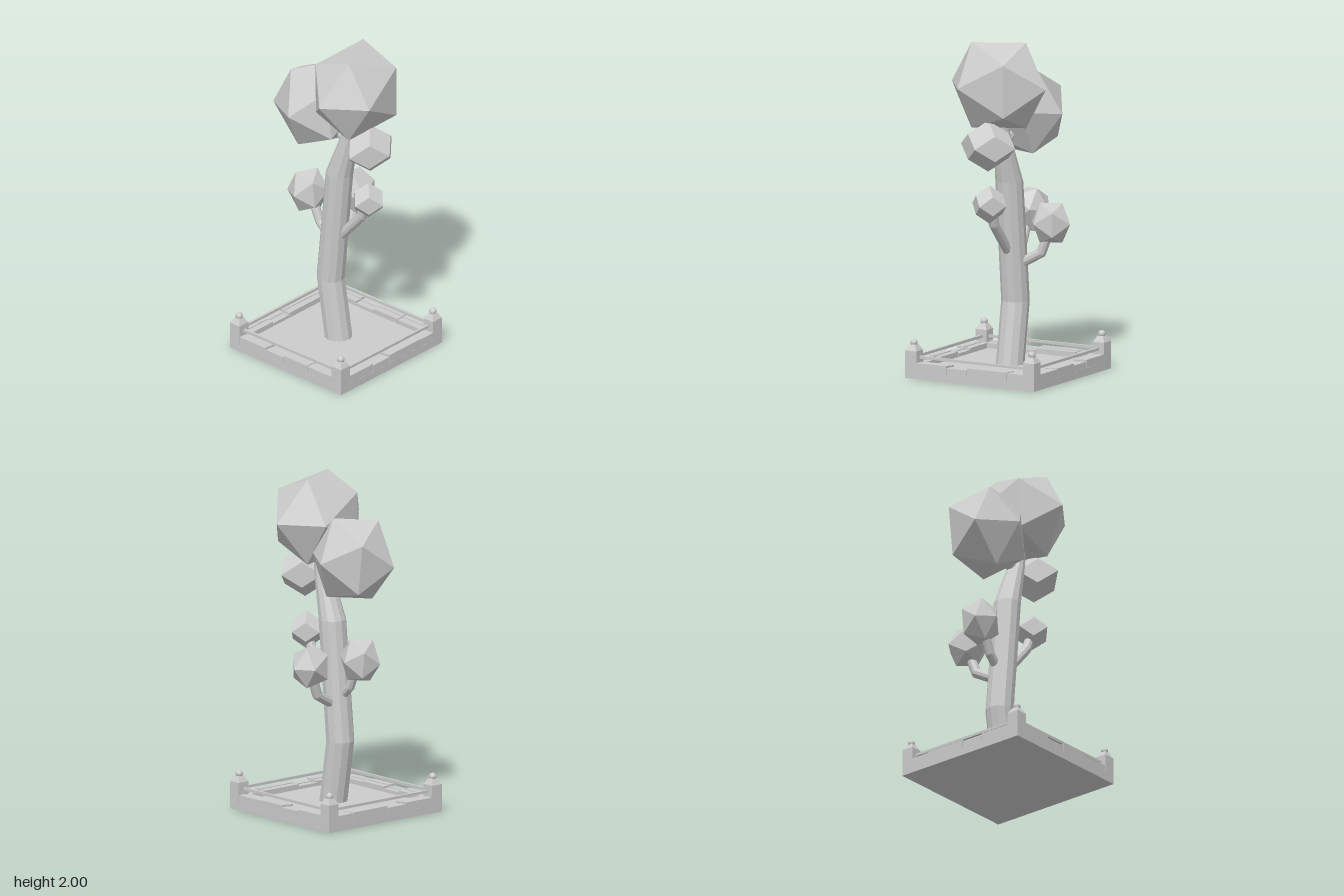
import * as THREE from 'three';
import { ConvexGeometry } from 'three/addons/geometries/ConvexGeometry.js';

const flat = new THREE.MeshStandardMaterial({ color: 0xcccccc, flatShading: true });
const smooth = new THREE.MeshStandardMaterial({ color: 0xcccccc });

function add(parent, name, geometry, x = 0, y = 0, z = 0, material = flat) {
  const mesh = new THREE.Mesh(geometry, material);
  mesh.name = name;
  mesh.position.set(x, y, z);
  parent.add(mesh);
  return mesh;
}

// Icosahedron with a vertex pointing at +z, rolled about z, then stretched
function icoCrown(rx, ry, rz, roll) {
  const g = new THREE.IcosahedronGeometry(1, 0);
  g.rotateX(Math.atan(2 / (1 + Math.sqrt(5))));
  g.rotateZ(Math.PI / 2 + roll);
  g.scale(rx, ry, rz);
  return g;
}

// Rhombic dodecahedron: six axis points plus eight half-size cube corners
function rhombicCrown(rx, ry, rz) {
  const pts = [];
  for (const s of [-1, 1]) {
    pts.push(new THREE.Vector3(s * rx, 0, 0), new THREE.Vector3(0, s * ry, 0), new THREE.Vector3(0, 0, s * rz));
    for (const t of [-1, 1]) for (const u of [-1, 1]) {
      pts.push(new THREE.Vector3(s * rx / 2, t * ry / 2, u * rz / 2));
    }
  }
  return new ConvexGeometry(pts);
}

// Bent limb: straight pieces with round joints
function limb(parent, name, radius, points) {
  const group = new THREE.Group();
  group.name = name;
  parent.add(group);
  const up = new THREE.Vector3(0, 1, 0);
  const pts = points.map((p) => new THREE.Vector3(...p));
  for (let i = 0; i < pts.length - 1; i++) {
    const dir = pts[i + 1].clone().sub(pts[i]);
    const mid = pts[i].clone().add(pts[i + 1]).multiplyScalar(0.5);
    const piece = add(group, 'limbPiece', new THREE.CylinderGeometry(radius, radius, dir.length(), 10), mid.x, mid.y, mid.z);
    piece.quaternion.setFromUnitVectors(up, dir.normalize());
    if (i > 0) add(group, 'limbJoint', new THREE.SphereGeometry(radius, 10, 8), ...points[i], smooth);
  }
}

// Trunk: a cylinder whose rings follow a bent, tapering path
function trunkGeometry() {
  const rings = [ // y, centre x, radius
    [0.05, 0.005, 0.084], [0.43, -0.057, 0.084], [1.15, 0.013, 0.082], [1.42, 0.095, 0.053], [1.62, 0.13, 0.04],
  ];
  const n = rings.length - 1;
  const g = new THREE.CylinderGeometry(1, 1, n, 12, n);
  const p = g.attributes.position;
  for (let i = 0; i < p.count; i++) {
    const [y, cx, r] = rings[Math.round(p.getY(i) + n / 2)];
    p.setXYZ(i, cx + p.getX(i) * r, y, -0.017 + p.getZ(i) * r);
  }
  g.computeVertexNormals();
  return g;
}

export function createModel() {
  const model = new THREE.Group();
  model.name = 'treeInPlanter';

  // Planter slab
  const planter = new THREE.Group();
  planter.name = 'planter';
  model.add(planter);
  add(planter, 'slab', new THREE.BoxGeometry(0.88, 0.045, 0.88), 0, 0.0225, 0);
  add(planter, 'soil', new THREE.BoxGeometry(0.72, 0.02, 0.72), 0, 0.05, 0);

  // Kerb bricks and rails on all four sides
  const cutsX = [-0.365, -0.16, -0.02, 0.17, 0.365];
  const cutsZ = [-0.365, -0.25, 0.02, 0.16, 0.365];
  const heightsX = [0.095, 0.084, 0.096, 0.092];
  const heightsZ = [0.092, 0.096, 0.084, 0.095];
  for (const s of [-1, 1]) {
    for (let i = 0; i < 4; i++) {
      for (const [outer, offset, width] of [[true, 0.417, 0.044], [false, 0.373, 0.042]]) {
        const drop = outer ? 0 : 0.004;
        const hx = heightsX[i] - drop - 0.04, hz = heightsZ[i] - drop - 0.04;
        const lx = cutsX[i + 1] - cutsX[i] - 0.002, lz = cutsZ[i + 1] - cutsZ[i] - 0.002;
        add(planter, 'kerbBrick', new THREE.BoxGeometry(lx, hx, width),
          (cutsX[i] + cutsX[i + 1]) / 2, 0.04 + hx / 2, s * offset);
        add(planter, 'kerbBrick', new THREE.BoxGeometry(width, hz, lz),
          s * offset, 0.04 + hz / 2, (cutsZ[i] + cutsZ[i + 1]) / 2);
      }
    }
    add(planter, 'rail', new THREE.BoxGeometry(0.76, 0.016, 0.016), 0, 0.125, s * 0.398);
    add(planter, 'rail', new THREE.BoxGeometry(0.016, 0.016, 0.76), s * 0.398, 0.125, 0);

    // Corner posts with a tapered cap and a ball
    for (const t of [-1, 1]) {
      const post = new THREE.Group();
      post.name = 'cornerPost';
      post.position.set(s * 0.402, 0, t * 0.402);
      planter.add(post);
      add(post, 'postShaft', new THREE.BoxGeometry(0.076, 0.165, 0.076), 0, 0.0825, 0);
      const cap = new THREE.CylinderGeometry(0.018 * Math.SQRT2, 0.038 * Math.SQRT2, 0.035, 4);
      cap.rotateY(Math.PI / 4);
      add(post, 'postCap', cap, 0, 0.1825, 0);
      add(post, 'postBall', new THREE.SphereGeometry(0.022, 16, 12), 0, 0.21, 0, smooth);
    }
  }

  // Trunk and branches
  const zc = -0.017;
  add(model, 'trunk', trunkGeometry());
  limb(model, 'leftBranch', 0.03, [[0.03, 0.74, zc], [0.19, 0.92, zc], [0.24, 1.04, zc]]);
  limb(model, 'rightBranch', 0.028, [[-0.05, 0.68, zc], [-0.145, 0.77, zc], [-0.21, 0.92, zc]]);
  limb(model, 'backBranch', 0.03, [[-0.04, 0.65, -0.05], [-0.055, 0.73, -0.195], [-0.065, 0.88, -0.25]]);
  limb(model, 'upperLeftBranch', 0.03, [[0.08, 1.36, zc], [0.24, 1.42, zc]]);
  limb(model, 'upperRightBranch', 0.035, [[0.08, 1.38, zc], [-0.12, 1.54, zc]]);

  // Faceted crowns
  const roll = THREE.MathUtils.degToRad(43);
  add(model, 'topCrown', icoCrown(0.262, 0.3, 0.32, 0), 0.14, 1.743, -0.02);
  add(model, 'rightCrown', icoCrown(0.275, 0.285, 0.25, roll), -0.17, 1.545, -0.02);
  add(model, 'smallRightCrown', icoCrown(0.129, 0.148, 0.125, roll), -0.235, 0.945, zc);
  add(model, 'backCrown', icoCrown(0.118, 0.138, 0.13, 0), -0.065, 0.912, -0.255);
  add(model, 'upperLeftCrown', rhombicCrown(0.152, 0.152, 0.185), 0.257, 1.398, zc);
  add(model, 'smallLeftCrown', rhombicCrown(0.114, 0.114, 0.116), 0.242, 1.047, zc);

  return model;
}
